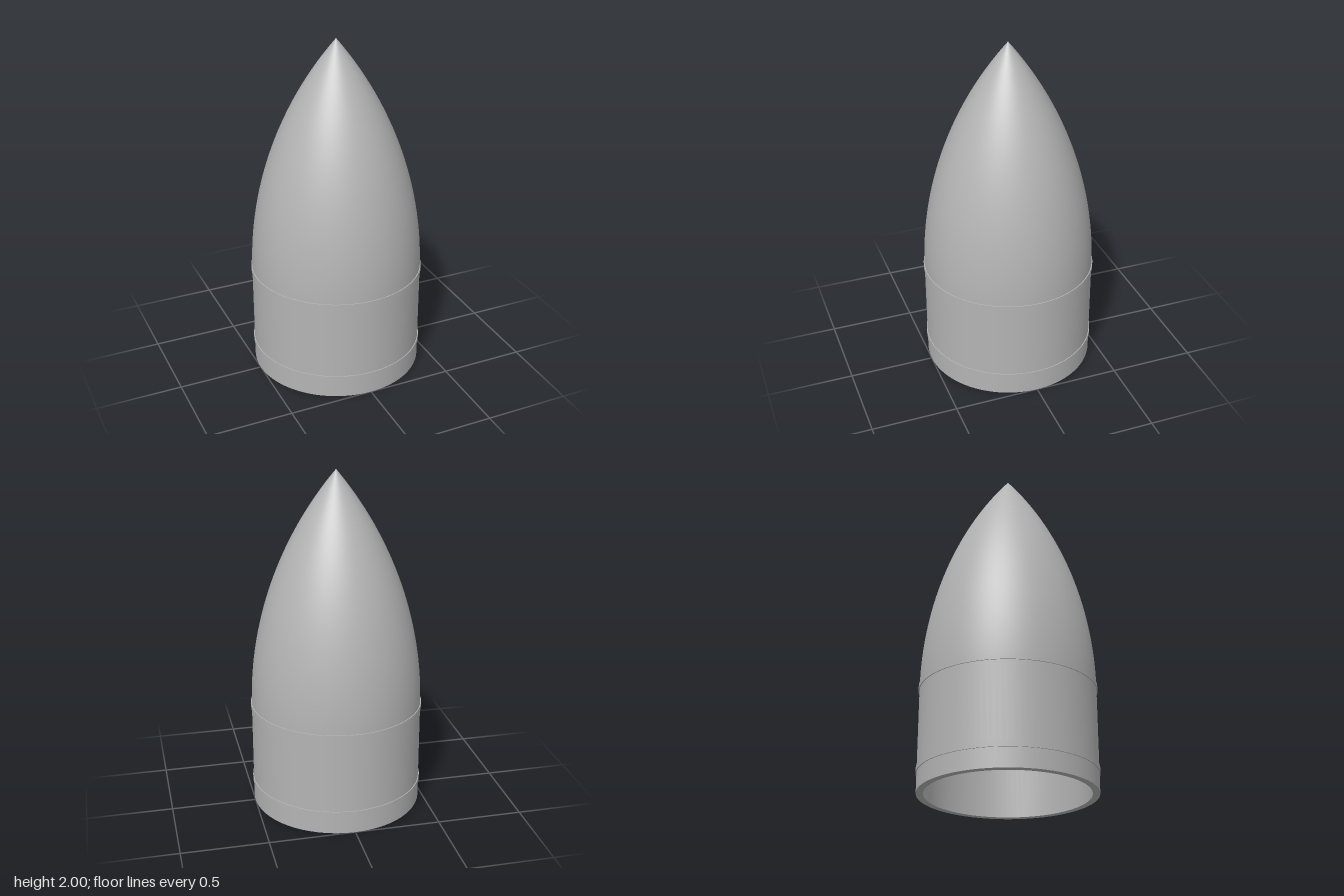
import * as THREE from 'three';

const SEG = 96, R = 0.5, WALL = 0.04, BASE = 0.6, TOP = 2;

export function createModel() {
  const group = new THREE.Group();
  const grey = new THREE.MeshStandardMaterial({ color: 0xb4b4b4 });
  grey.name = 'grey';

  // Revolve a profile; its outside lies to the right of the direction of travel
  const revolve = (name, pts, parent = group) => {
    const geo = new THREE.LatheGeometry(pts.map(([r, y]) => new THREE.Vector2(r, y)), SEG);
    const mesh = new THREE.Mesh(geo, grey);
    mesh.name = name;
    parent.add(mesh);
  };

  // Tangent ogive: a circular arc from the wall up to the tip
  const ogive = (r, top) => {
    const h = top - BASE, rho = (r * r + h * h) / (2 * r), pts = [];
    for (let i = 0; i <= 40; i++) {
      const y = (h * i) / 40;
      pts.push([i === 40 ? 0 : Math.sqrt(rho * rho - y * y) + r - rho, BASE + y]);
    }
    return pts;
  };

  // Outer shell
  revolve('noseCone', ogive(R, TOP));
  revolve('cylinderWall', [[R, 0], [R, BASE]]);

  // Hollow inside and the rim that joins it to the outer wall
  const ri = R - WALL;
  revolve('innerNose', ogive(ri, TOP - 0.06).reverse());
  revolve('innerWall', [[ri, BASE], [ri, 0]]);
  revolve('bottomRim', [[ri, 0], [R, 0]]);

  // Raised bands, each with sharp edges
  [['lowerBand', 0.11], ['upperBand', 0.59]].forEach(([name, y]) => {
    const band = new THREE.Group(), r = R + 0.005, y2 = y + 0.03;
    band.name = name;
    revolve(name + 'Underside', [[R - 0.01, y], [r, y]], band);
    revolve(name + 'Face', [[r, y], [r, y2]], band);
    revolve(name + 'Top', [[r, y2], [R - 0.01, y2]], band);
    group.add(band);
  });

  return group;
}
